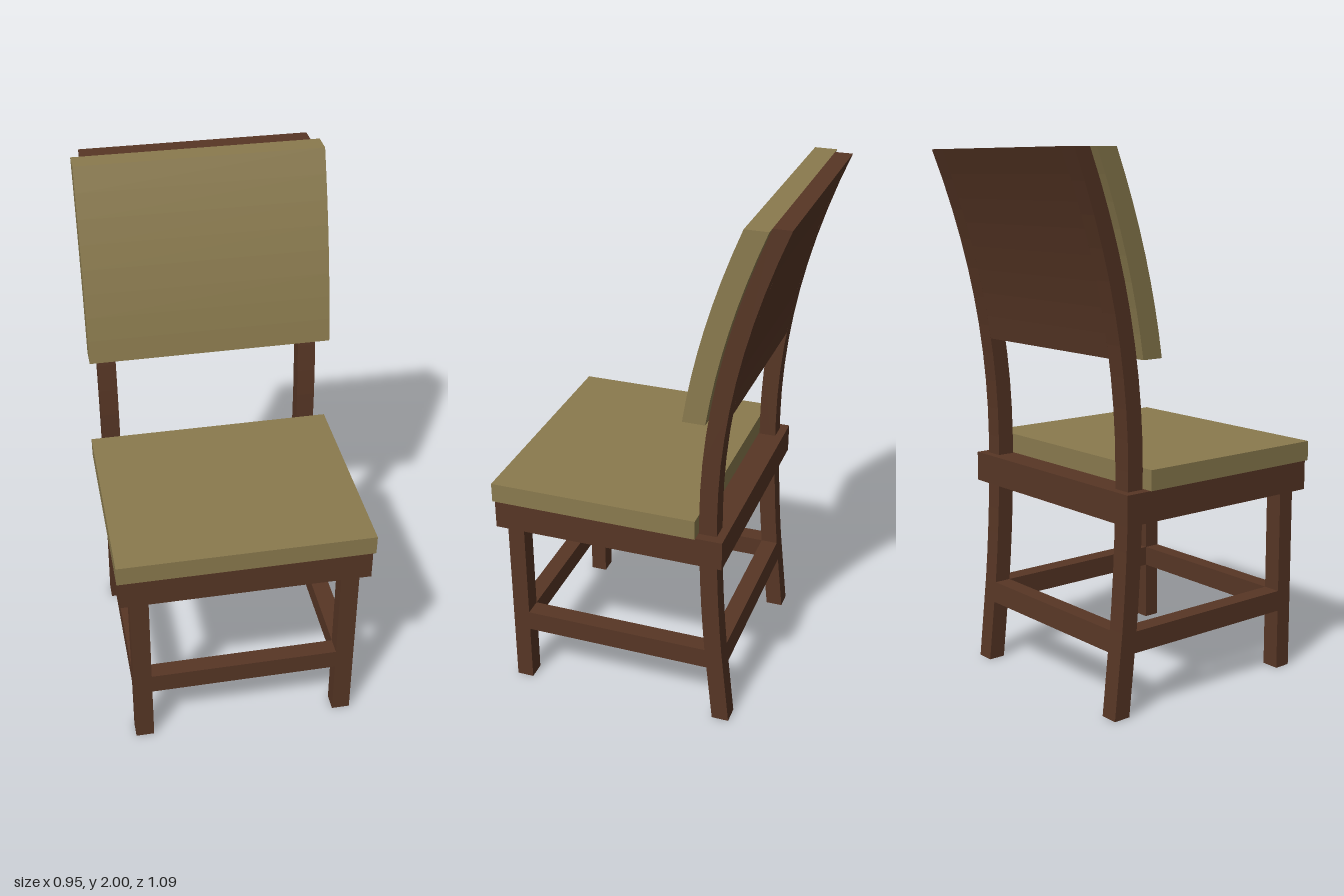
import * as THREE from 'three';

const wood = new THREE.MeshStandardMaterial({ color: 0x573625, flatShading: true });
const fabric = new THREE.MeshStandardMaterial({ color: 0x8a7a4e, flatShading: true });

// Front face (z) of the rear posts at height y: splayed foot, upright middle, raked back
function postFront(y) {
  if (y < 0.32) return -0.274 - (0.32 - y) * 0.105;
  if (y < 0.9) return -0.248 - 0.026 * ((0.9 - y) / 0.58) ** 2;
  return -0.248 - 0.188 * (y - 0.9) ** 2;
}

export function createModel() {
  const chair = new THREE.Group();

  function add(name, geometry, material) {
    const mesh = new THREE.Mesh(geometry, material);
    mesh.name = name;
    chair.add(mesh);
  }

  function box(name, material, [x0, x1], [y0, y1], [z0, z1]) {
    const g = new THREE.BoxGeometry(x1 - x0, y1 - y0, z1 - z0);
    g.translate((x0 + x1) / 2, (y0 + y1) / 2, (z0 + z1) / 2);
    add(name, g, material);
  }

  // Slab following the rear post curve between two heights; near/far are z offsets from it
  function curved(name, material, [x0, x1], heights, near, far) {
    const front = heights.map(y => new THREE.Vector2(-(postFront(y) + near), y));
    const back = heights.map(y => new THREE.Vector2(-(postFront(y) + far), y)).reverse();
    const g = new THREE.ExtrudeGeometry(new THREE.Shape([...front, ...back]),
      { depth: x1 - x0, bevelEnabled: false });
    g.rotateY(Math.PI / 2).translate(x0, 0, 0);
    add(name, g, material);
  }

  const steps = (a, b, n) => Array.from({ length: n + 1 }, (_, i) => a + (b - a) * i / n);
  const postHeights = [0, ...steps(0.32, 0.9, 6), ...steps(1.01, 2, 9)];
  const backHeights = steps(1.29, 2, 8);
  const rail = [0.235, 0.315];

  // Seat
  box('seatFrame', wood, [-0.465, 0.465], [0.715, 0.828], [-0.345, 0.54]);
  box('seatCushion', fabric, [-0.475, 0.475], [0.83, 0.905], [-0.246, 0.545]);

  // Legs and side stretchers, mirrored
  for (const [side, x] of [['left', [0.36, 0.43]], ['right', [-0.43, -0.36]]]) {
    box(side + 'FrontLeg', wood, x, [0, 0.715], [0.445, 0.51]);
    curved(side + 'RearPost', wood, x, postHeights, 0, -0.066);
    box(side + 'Stretcher', wood, x, rail, [-0.285, 0.445]);
  }
  box('frontStretcher', wood, [-0.36, 0.36], rail, [0.445, 0.51]);
  curved('rearStretcher', wood, [-0.36, 0.36], rail, 0, -0.066);

  // Backrest
  curved('backPanel', wood, [-0.36, 0.36], backHeights, 0, -0.066);
  curved('backCushion', fabric, [-0.465, 0.465], backHeights, 0.083, 0);

  return chair;
}
